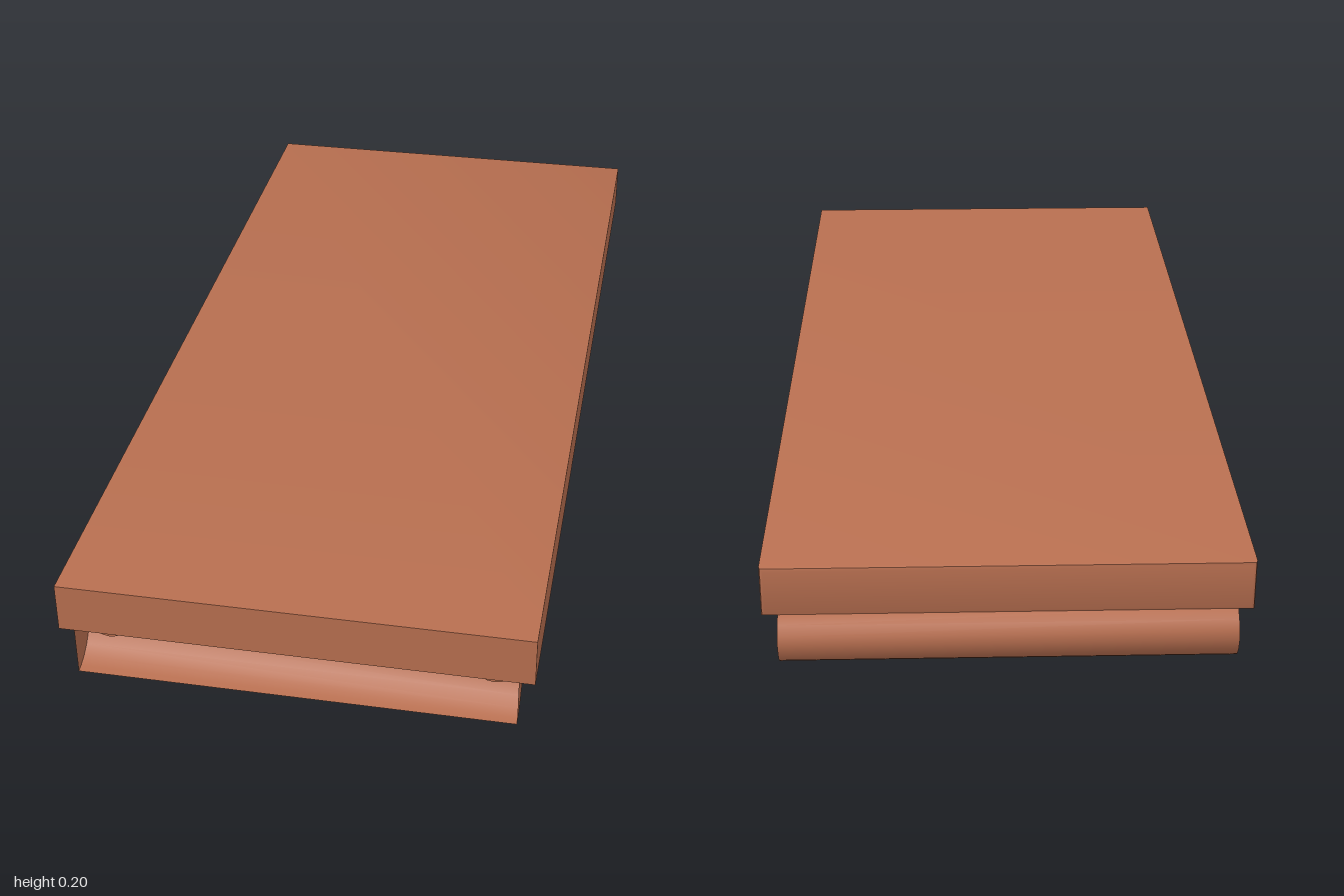
import * as THREE from 'three';
import { toCreasedNormals } from 'three/addons/utils/BufferGeometryUtils.js';

const BEAM_HALF = 0.42;

// Extrude a (z, y) profile across the width of the deck
function crossBeam(points) {
  const shape = new THREE.Shape(points.map(([z, y]) => new THREE.Vector2(z, y)));
  const geo = new THREE.ExtrudeGeometry(shape, { depth: 2 * BEAM_HALF, bevelEnabled: false });
  geo.rotateY(-Math.PI / 2).translate(BEAM_HALF, 0, 0);
  return toCreasedNormals(geo, 1.1);
}

// Drop the triangles lying on the plane z = 1, leaving that side open
function openFront(geo) {
  const p = geo.attributes.position, n = geo.attributes.normal;
  const pos = [], nor = [];
  for (let i = 0; i < p.count; i += 3) {
    if ([0, 1, 2].every(k => p.getZ(i + k) > 0.999)) continue;
    for (let k = i; k < i + 3; k++) {
      pos.push(p.getX(k), p.getY(k), p.getZ(k));
      nor.push(n.getX(k), n.getY(k), n.getZ(k));
    }
  }
  const out = new THREE.BufferGeometry();
  out.setAttribute('position', new THREE.Float32BufferAttribute(pos, 3));
  out.setAttribute('normal', new THREE.Float32BufferAttribute(nor, 3));
  return out;
}

// Deck slab with small chamfers on all edges but the flat front end
function deckGeometry() {
  const b = 0.007, w = 0.45 - b, y0 = 0.1 + b, y1 = 0.2 - b;
  const shape = new THREE.Shape([
    new THREE.Vector2(-w, y0), new THREE.Vector2(w, y0),
    new THREE.Vector2(w, y1), new THREE.Vector2(-w, y1),
  ]);
  const geo = new THREE.ExtrudeGeometry(shape, {
    depth: 1.97 - 2 * b, bevelSize: b, bevelThickness: b, bevelSegments: 2,
  });
  geo.translate(0, 0, -0.97 + b);
  const p = geo.attributes.position;
  for (let i = 0; i < p.count; i++) if (p.getZ(i) > 0.99) p.setZ(i, 1);
  return toCreasedNormals(geo, 0.6);
}

export function createModel() {
  const model = new THREE.Group();
  model.name = 'deck';
  const clay = new THREE.MeshStandardMaterial({ color: 0xb86f50, side: THREE.DoubleSide });
  clay.name = 'terracotta';

  const add = (name, geo) => {
    const mesh = new THREE.Mesh(geo, clay);
    mesh.name = name;
    model.add(mesh);
    return mesh;
  };

  add('deckSlab', deckGeometry());

  // Rounded cross beams; the front one is a half beam, hollow towards the front
  add('frontBeam', openFront(crossBeam([
    [0.915, 0.105], [0.915, 0.065], [0.925, 0.045], [0.945, 0.022],
    [0.965, 0.009], [0.985, 0.002], [1, 0], [1, 0.105],
  ])));
  add('middleBeam', crossBeam([
    [-0.07, 0.105], [-0.07, 0.065], [-0.06, 0.045], [-0.04, 0.017], [-0.015, 0.004],
    [0.017, 0], [0.05, 0.004], [0.075, 0.022], [0.093, 0.048], [0.1, 0.07], [0.1, 0.105],
  ]));
  add('backBeam', crossBeam([
    [-0.985, 0.09], [-0.997, 0.073], [-1, 0.055], [-0.995, 0.034], [-0.983, 0.015],
    [-0.966, 0.003], [-0.945, 0], [-0.925, 0.009], [-0.908, 0.033],
    [-0.9, 0.06], [-0.9, 0.105], [-0.965, 0.105],
  ]));

  // Round rails along both long sides
  for (const [side, name] of [[1, 'leftRail'], [-1, 'rightRail']]) {
    const rail = add(name, new THREE.CylinderGeometry(0.036, 0.036, 1.9, 16));
    rail.rotation.x = Math.PI / 2;
    rail.position.set(side * 0.37, 0.087, 0);
  }
  return model;
}
